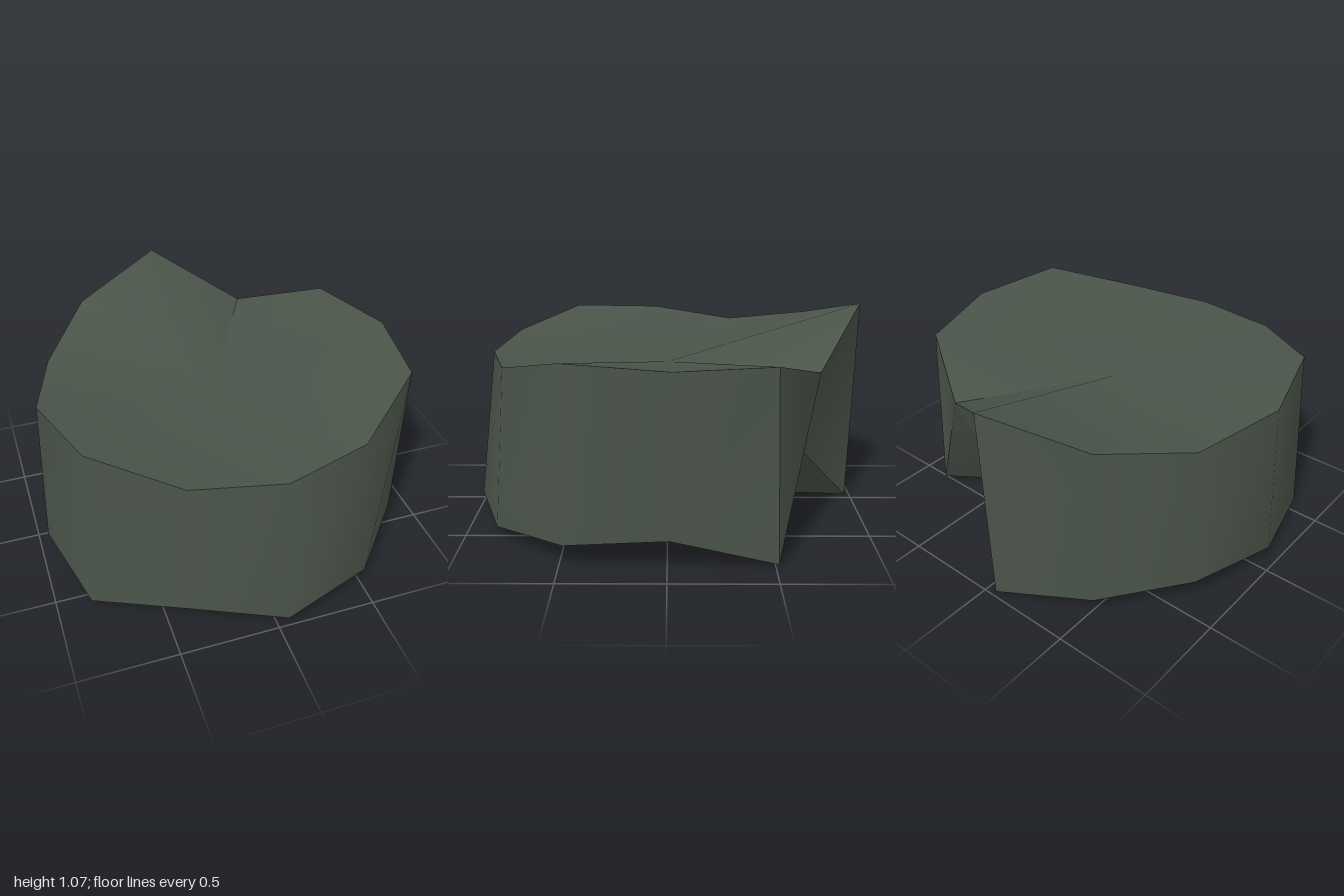
import * as THREE from 'three';
import { toCreasedNormals } from 'three/addons/utils/BufferGeometryUtils.js';

// Irregular rim corners, counter-clockwise from the front: [x, y, z]
const TOP = [
  [0.05, 0.835, 0.9], [0.48, 0.855, 0.78], [0.86, 0.97, 0.47], [0.95, 0.955, -0.02],
  [0.8, 0.94, -0.49], [0.39, 0.81, -0.74], [-0.05, 1.07, -1.0], [-0.52, 0.94, -0.77],
  [-0.79, 0.85, -0.37], [-0.92, 0.9, 0.08], [-0.79, 0.93, 0.54], [-0.4, 0.86, 0.825],
];
// The sixth corner is lifted to form the notch under the back edge
const BOTTOM = [
  [0.05, 0.055, 1.0], [0.53, 0.065, 0.835], [0.84, 0.11, 0.48], [0.9, 0.16, -0.01],
  [0.835, 0.015, -0.515], [0.325, 0.455, -0.61], [-0.05, 0.003, -0.975], [-0.51, 0.08, -0.775],
  [-0.83, 0.11, -0.39], [-0.955, 0.075, 0.08], [-0.83, 0.025, 0.565], [-0.42, 0.125, 0.845],
];
const TOP_CENTRE = [0, 0.77, 0];
const BOTTOM_CENTRE = [0, 0.06, 0];

function stumpGeometry() {
  const n = TOP.length;
  const positions = [...TOP, ...BOTTOM, TOP_CENTRE, BOTTOM_CENTRE].flat();
  const index = [];
  for (let i = 0; i < n; i++) {
    const j = (i + 1) % n;
    index.push(i, n + i, j, n + i, n + j, j); // wall
    index.push(2 * n, i, j);                  // top fan
    index.push(2 * n + 1, n + j, n + i);      // bottom fan
  }
  const geometry = new THREE.BufferGeometry();
  geometry.setAttribute('position', new THREE.Float32BufferAttribute(positions, 3));
  geometry.setIndex(index);
  return toCreasedNormals(geometry, THREE.MathUtils.degToRad(40));
}

export function createModel() {
  const group = new THREE.Group();
  group.name = 'rockSlab';
  const stone = new THREE.MeshStandardMaterial({ color: 0x4a5449 });
  stone.name = 'dark green stone';
  const body = new THREE.Mesh(stumpGeometry(), stone);
  body.name = 'rockBody';
  group.add(body);
  return group;
}
